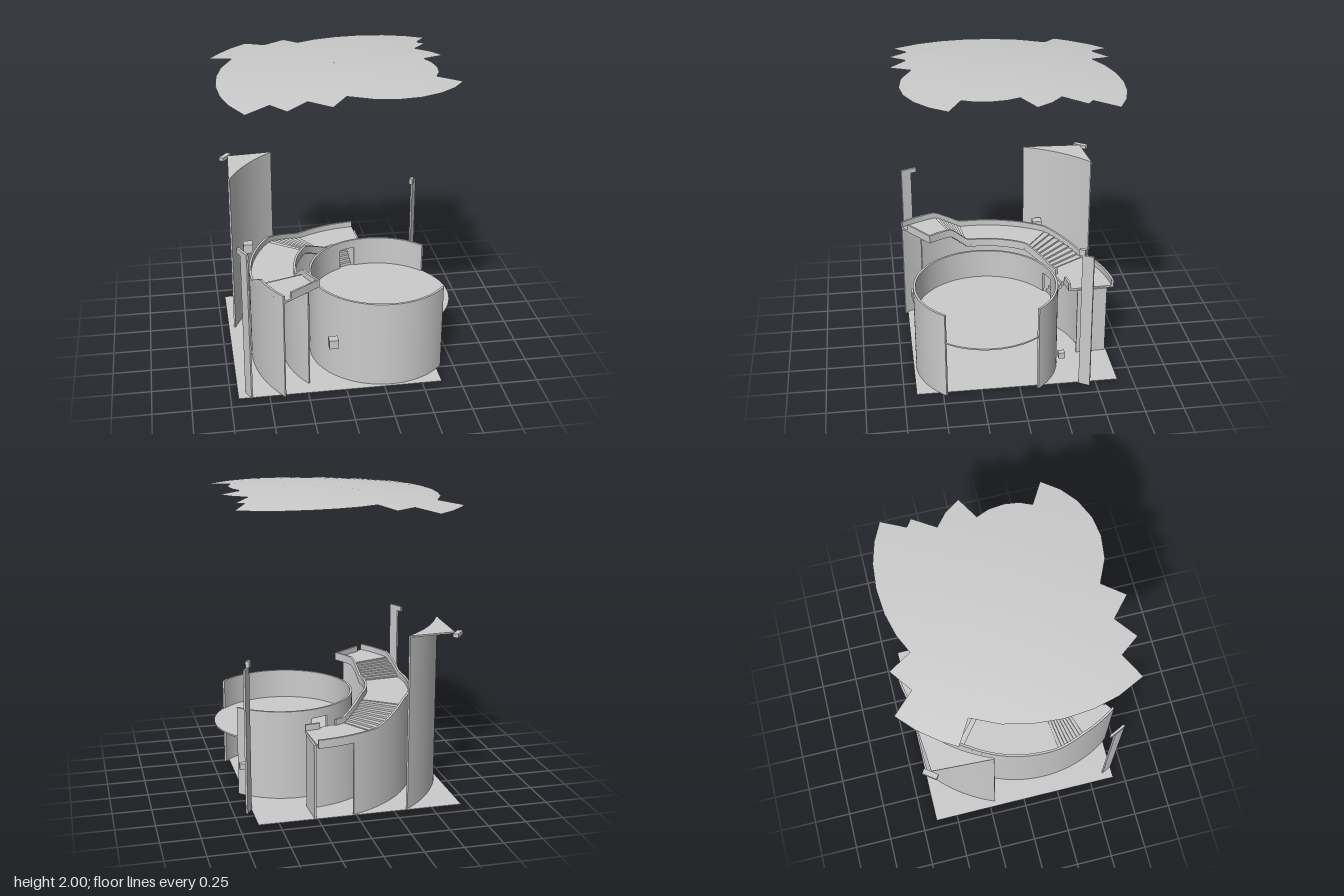
import * as THREE from 'three';
import { toCreasedNormals } from 'three/addons/utils/BufferGeometryUtils.js';

const CX = 0.3, CZ = 0.18; // common centre of all the curved walls
const RAD = Math.PI / 180;
const grey = new THREE.MeshStandardMaterial({ color: 0xcccccc, side: THREE.DoubleSide });
const at = (r, deg) => [CX + r * Math.cos(deg * RAD), CZ + r * Math.sin(deg * RAD)];

function add(parent, name, geometry) {
  const mesh = new THREE.Mesh(geometry, grey);
  mesh.name = name;
  parent.add(mesh);
  return mesh;
}

// Curved block between two radii and two angles; heights may vary with the angle
function arcBlock(r0, r1, a0, a1, bottom, top) {
  const n = Math.max(1, Math.ceil((a1 - a0) / 2.5));
  const h = (v, a) => (typeof v === 'function' ? v(a) : v);
  const pos = [], idx = [];
  for (let i = 0; i <= n; i++) {
    const a = a0 + (a1 - a0) * i / n;
    const [xi, zi] = at(r0, a), [xo, zo] = at(r1, a);
    const b = h(bottom, a), t = h(top, a);
    pos.push(xi, b, zi, xo, b, zo, xo, t, zo, xi, t, zi);
  }
  for (let i = 0; i < n; i++) {
    for (let j = 0; j < 4; j++) {
      const k = (j + 1) % 4, p = i * 4, q = p + 4;
      idx.push(p + j, p + k, q + k, p + j, q + k, q + j);
    }
  }
  const e = n * 4;
  idx.push(0, 3, 2, 0, 2, 1, e, e + 1, e + 2, e, e + 2, e + 3);
  const g = new THREE.BufferGeometry();
  g.setAttribute('position', new THREE.Float32BufferAttribute(pos, 3));
  g.setIndex(idx);
  return toCreasedNormals(g, 0.5);
}

// Walkway height: high landing, stairs, middle landing, stairs, low landing
const START = 144, END = 267;
const stairs = [[162, 174, 0.7, 0.6], [216, 238, 0.6, 0.5]];
function deckY(a) {
  let y = 0.7;
  for (const [a0, a1, y0, y1] of stairs) {
    if (a > a0) y = y0 + (y1 - y0) * Math.min(1, (a - a0) / (a1 - a0));
  }
  return y;
}

function buildArena(parent) {
  const g = new THREE.Group();
  g.name = 'arena';
  parent.add(g);
  const wall = (a0, a1, b, t) => add(g, 'arenaWall', arcBlock(0.458, 0.473, a0, a1, b, t));
  wall(39.4, 244, 0, 0.6);
  wall(244, 258, 0, 0.4); // below the doorway
  wall(244, 258, 0.54, 0.6); // above the doorway
  wall(258, 320.6, 0, 0.6);
  const floor = add(g, 'arenaFloor', new THREE.CylinderGeometry(0.468, 0.468, 0.01, 72));
  floor.position.set(CX, 0.395, CZ);
  // Steps from the walkway down to the doorway
  for (let i = 0; i < 5; i++) {
    const r = 0.475 + i * 0.018, y = 0.42 + i * 0.02;
    add(g, 'doorStep', arcBlock(r, r + 0.018, 246, 256, y - 0.03, y));
  }
}

function buildWalkway(parent) {
  const g = new THREE.Group();
  g.name = 'walkway';
  parent.add(g);
  const under = a => deckY(a) - 0.015, rail = a => deckY(a) + 0.04;
  add(g, 'outerWall', arcBlock(0.86, 0.87, START, 251, 0, under));
  add(g, 'innerWall', arcBlock(0.65, 0.66, START, END, 0, under));
  add(g, 'endPanel', arcBlock(0.62, 0.82, END, END + 1, 0, 0.49));
  // Landings
  for (const [a0, a1] of [[START, 162], [174, 216], [238, END]]) {
    add(g, 'landing', arcBlock(0.56, 0.87, a0, a1, under, deckY));
  }
  // Stair flights
  for (const [a0, a1, y0, y1] of stairs) {
    const n = 8, da = (a1 - a0) / n;
    for (let i = 0; i < n; i++) {
      const y = y0 + (y1 - y0) * (i + 0.5) / n;
      add(g, 'stair', arcBlock(0.57, 0.86, a0 + i * da, a0 + (i + 1) * da, y - 0.02, y));
    }
  }
  // Parapets, with a gap on the inside at the door steps
  add(g, 'outerRail', arcBlock(0.855, 0.87, START, END, under, rail));
  add(g, 'innerRail', arcBlock(0.56, 0.575, START, 245, under, rail));
  add(g, 'innerRail', arcBlock(0.56, 0.575, 257, END, under, rail));
  add(g, 'endRail', arcBlock(0.56, 0.8, START, START + 1, under, rail));
}

function buildTower(parent) {
  const g = new THREE.Group();
  g.name = 'tower';
  parent.add(g);
  add(g, 'towerWall', arcBlock(1.028, 1.04, 202, 232, 0, 1.15));
  // Triangular cap reaching out to the corner
  const cap = new THREE.Shape();
  cap.moveTo(-0.64, 0.61);
  for (let a = 202; a <= 232; a += 3) {
    const [x, z] = at(1.035, a);
    cap.lineTo(x, -z);
  }
  const geo = new THREE.ExtrudeGeometry(cap, { depth: 0.01, bevelEnabled: false });
  geo.rotateX(-Math.PI / 2);
  add(g, 'towerCap', geo).position.y = 1.14;
  const block = add(g, 'capBlock', new THREE.BoxGeometry(0.1, 0.025, 0.035));
  block.position.set(-0.655, 1.138, -0.62);
  block.rotation.y = 53 * RAD;
}

function buildPosts(parent) {
  add(parent, 'leftPost', arcBlock(1.03, 1.042, 151.8, 156, 0, 1.0));
  add(parent, 'leftPostCap', arcBlock(1.028, 1.044, 151.8, 158.2, 1.0, 1.035));
  add(parent, 'rightPost', arcBlock(0.66, 0.737, -60.4, -59.4, 0, 0.95));
  add(parent, 'rightPostCap', arcBlock(0.64, 0.68, -60.9, -58.9, 0.95, 0.99));
  // Small hovering cubes
  for (const [x, y, z, s] of [[-0.08, 0.335, 0.62, 0.06], [0.66, 0.25, -0.265, 0.04], [-0.54, 0.59, -0.29, 0.065]]) {
    add(parent, 'cube', new THREE.BoxGeometry(s, s, s)).position.set(x, y, z);
  }
}

// Shallow domed canopy with a jagged outline, as rings shrinking to the middle
function buildCanopy(parent) {
  const outline = [
    [0.725, -0.57], [0.64, -0.42], [0.69, -0.385], [0.59, -0.245], [0.675, -0.175], [0.74, -0.08],
    [0.595, 0], [0.628, 0.08], [0.64, 0.18], [0.628, 0.27], [0.595, 0.345], [0.74, 0.43],
    [0.66, 0.535], [0.56, 0.615], [0.43, 0.672], [0.3, 0.69], [0.15, 0.67], [0, 0.6],
    [-0.1, 0.735], [-0.23, 0.62], [-0.36, 0.725], [-0.45, 0.605], [-0.6, 0.69],
    [-0.68, 0.52], [-0.72, 0.36], [-0.735, 0.18], [-0.72, 0], [-0.68, -0.17], [-0.6, -0.34],
    [-0.745, -0.43], [-0.69, -0.52], [-0.59, -0.645], [-0.48, -0.745], [-0.36, -0.615], [-0.22, -0.715],
    [-0.14, -0.575], [-0.02, -0.63], [0.13, -0.668], [0.3, -0.682], [0.46, -0.668], [0.6, -0.63],
  ];
  const rings = 8, n = outline.length, pos = [], idx = [];
  for (let i = 0; i <= rings; i++) {
    for (const [ox, oz] of outline) {
      const x = ox * i / rings, z = oz * i / rings;
      pos.push(x, 2 - 0.064 * ((x - 0.25) ** 2 + (z - 0.15) ** 2), z);
    }
  }
  for (let i = 0; i < rings; i++) {
    for (let j = 0; j < n; j++) {
      const k = (j + 1) % n, a = i * n, b = a + n;
      if (i > 0) idx.push(a + j, a + k, b + j);
      idx.push(a + k, b + k, b + j);
    }
  }
  const g = new THREE.BufferGeometry();
  g.setAttribute('position', new THREE.Float32BufferAttribute(pos, 3));
  g.setIndex(idx);
  g.computeVertexNormals();
  add(parent, 'canopy', g);
}

export function createModel() {
  const model = new THREE.Group();
  model.name = 'pavilion';
  const ground = add(model, 'groundSlab', new THREE.BoxGeometry(1.33, 0.004, 1.32));
  ground.position.set(-0.035, 0.002, 0.01);
  buildArena(model);
  buildWalkway(model);
  buildTower(model);
  buildPosts(model);
  buildCanopy(model);
  return model;
}
